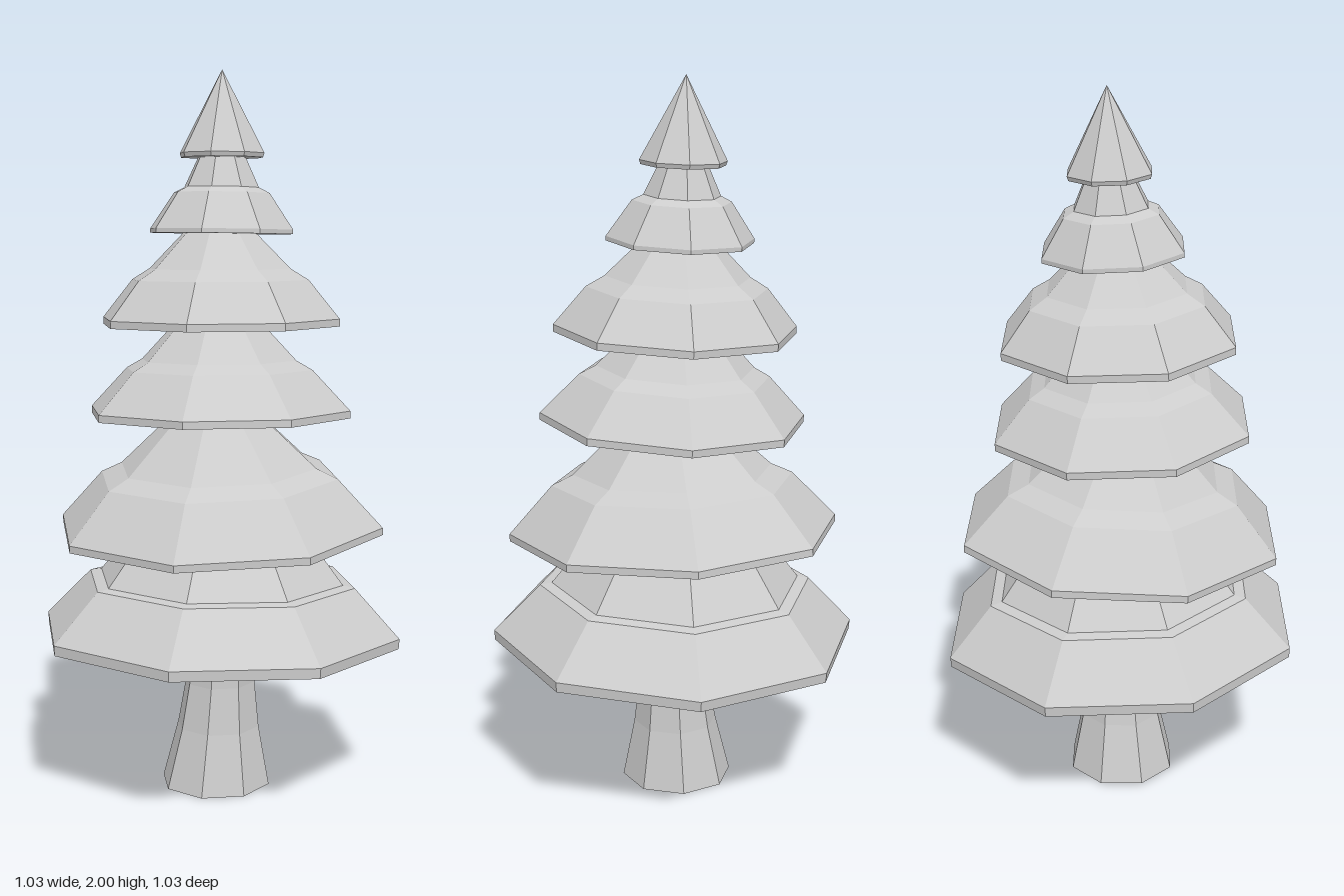
import * as THREE from 'three';

const SIDES = 8;

// Faceted eight-sided solid from [radius, height] pairs, listed bottom to top
function faceted(profile, material, name) {
  const points = profile.map(([r, y]) => new THREE.Vector2(r, y));
  const geometry = new THREE.LatheGeometry(points, SIDES).toNonIndexed();
  geometry.computeVertexNormals();
  const mesh = new THREE.Mesh(geometry, material);
  mesh.name = name;
  return mesh;
}

export function createModel() {
  const tree = new THREE.Group();
  tree.name = 'pineTree';
  const grey = new THREE.MeshStandardMaterial({ color: 0xcccccc });
  grey.name = 'pale grey';

  // Trunk flares at the foot and leans slightly
  const trunk = faceted(
    [[0, 0], [0.156, 0], [0.118, 0.17], [0.1, 0.3], [0.092, 0.46]], grey, 'trunk');
  const p = trunk.geometry.attributes.position;
  for (let i = 0; i < p.count; i++) p.setX(i, p.getX(i) - 0.01 + 0.045 * p.getY(i));
  trunk.geometry.computeVertexNormals();
  tree.add(trunk);

  // Branch tiers: y is the rim height, heights in each profile are above it
  const tiers = [
    { y: 0.43, z: 0, tilt: [-0.036, -0.008],
      profile: [[0, 0], [0.512, 0], [0.514, 0.028], [0.385, 0.162], [0.352, 0.168], [0.24, 0.31], [0, 0.34]] },
    { y: 0.74, z: 0, tilt: [0.042, 0.012],
      profile: [[0, 0], [0.463, 0], [0.463, 0.02], [0.34, 0.152], [0.28, 0.18], [0.13, 0.32], [0, 0.34]] },
    { y: 1.06, z: 0.005, tilt: [-0.045, 0.015],
      profile: [[0, 0], [0.37, 0], [0.37, 0.02], [0.265, 0.13], [0.22, 0.155], [0.12, 0.26], [0, 0.28]] },
    { y: 1.31, z: -0.005, tilt: [-0.036, 0.012],
      profile: [[0, 0], [0.336, 0], [0.336, 0.02], [0.25, 0.125], [0.2, 0.155], [0.1, 0.255], [0, 0.27]] },
    { y: 1.56, z: -0.02, tilt: [-0.05, 0],
      profile: [[0, 0], [0.202, 0], [0.202, 0.012], [0.135, 0.11], [0.105, 0.125], [0.065, 0.21], [0, 0.23]] },
    { y: 1.765, z: -0.03, tilt: [-0.035, 0.005],
      profile: [[0, 0], [0.115, 0], [0.119, 0.012], [0, 0.235]] },
  ];
  tiers.forEach(({ y, z, tilt, profile }, i) => {
    const tier = faceted(profile, grey, i < 5 ? `branchTier${i + 1}` : 'treeTip');
    tier.position.set(0, y, z);
    tier.rotation.set(tilt[0], 0, tilt[1]);
    tree.add(tier);
  });
  return tree;
}
